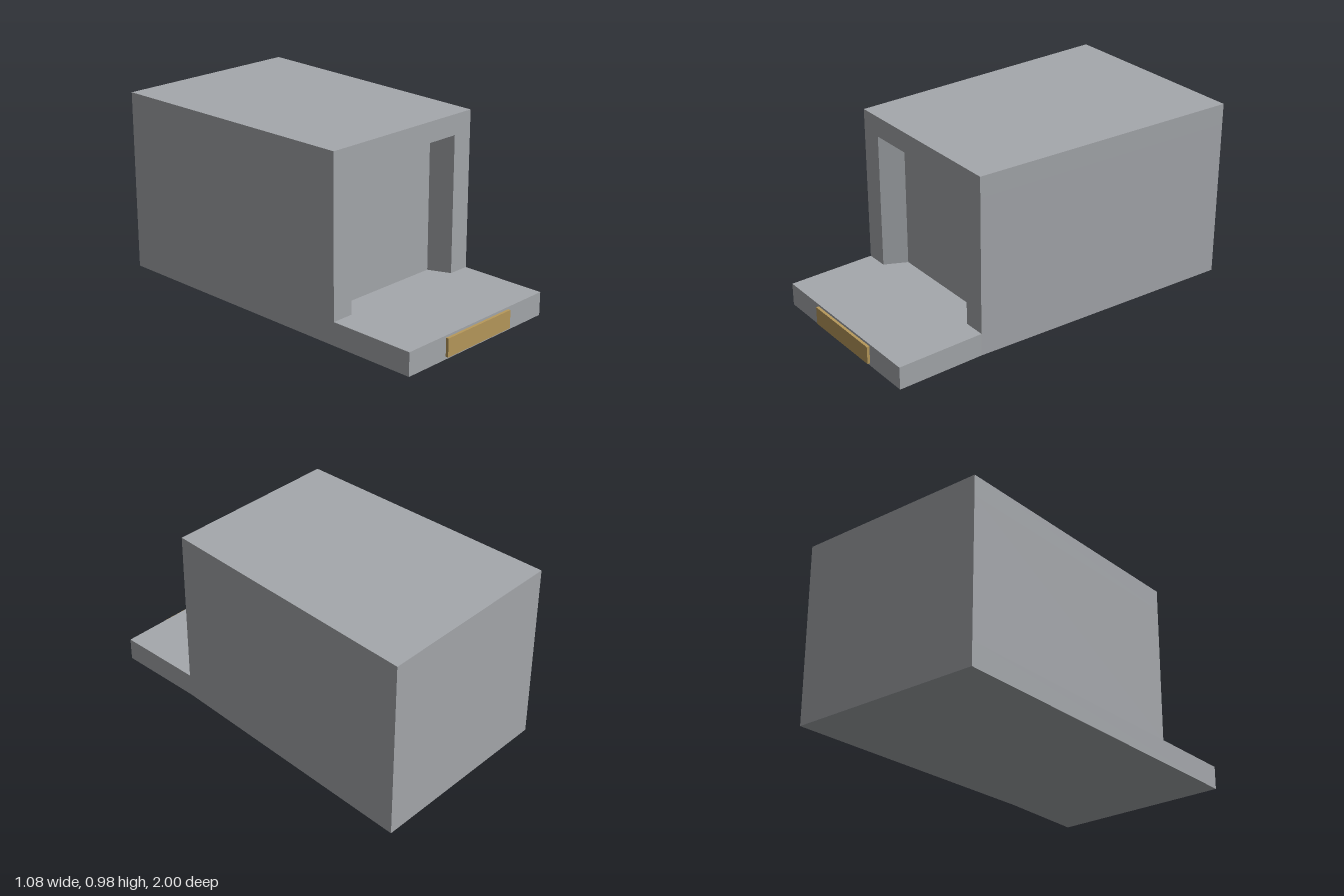
import * as THREE from 'three';

const grey = new THREE.MeshStandardMaterial({ color: 0xa5a8ac });
grey.name = 'concreteGrey';
const brass = new THREE.MeshStandardMaterial({ color: 0xb7995b });
brass.name = 'brass';

// Upright prism from a plan outline of [x, z] points
function prism(name, plan, y0, y1) {
  const shape = new THREE.Shape(plan.map(([x, z]) => new THREE.Vector2(x, -z)));
  const geo = new THREE.ExtrudeGeometry(shape, { depth: y1 - y0, bevelEnabled: false });
  geo.rotateX(-Math.PI / 2).translate(0, y0, 0);
  const mesh = new THREE.Mesh(geo, grey);
  mesh.name = name;
  return mesh;
}

export function createModel() {
  const model = new THREE.Group();
  model.name = 'recessedBlock';

  const left = -0.54, right = 0.45, front = 0.5, step = 0.985;
  const floorY = 0.125, headY = 0.873, topY = 0.983;
  const back = [[0.537, -1], [left, -0.99]];

  // Base slab, reaching forward as a doorstep
  model.add(prism('baseSlab', [[left, step], [right, step], [right, front], ...back], 0, floorY));

  // Walls around a shallow niche with splayed sides
  const niche = [[-0.418, front], [-0.36, 0.38], [0.28, 0.38], [0.33, front]];
  model.add(prism('nicheWalls', [[left, front], ...niche, [right, front], ...back], floorY, headY));

  // Roof block over the niche
  model.add(prism('roof', [[left, front], [right, front], ...back], headY, topY));

  // Plaque on the front of the step
  const plaque = new THREE.Mesh(new THREE.BoxGeometry(0.47, 0.098, 0.015), brass);
  plaque.name = 'plaque';
  plaque.position.set(-0.045, 0.064, 0.9925);
  model.add(plaque);

  return model;
}
